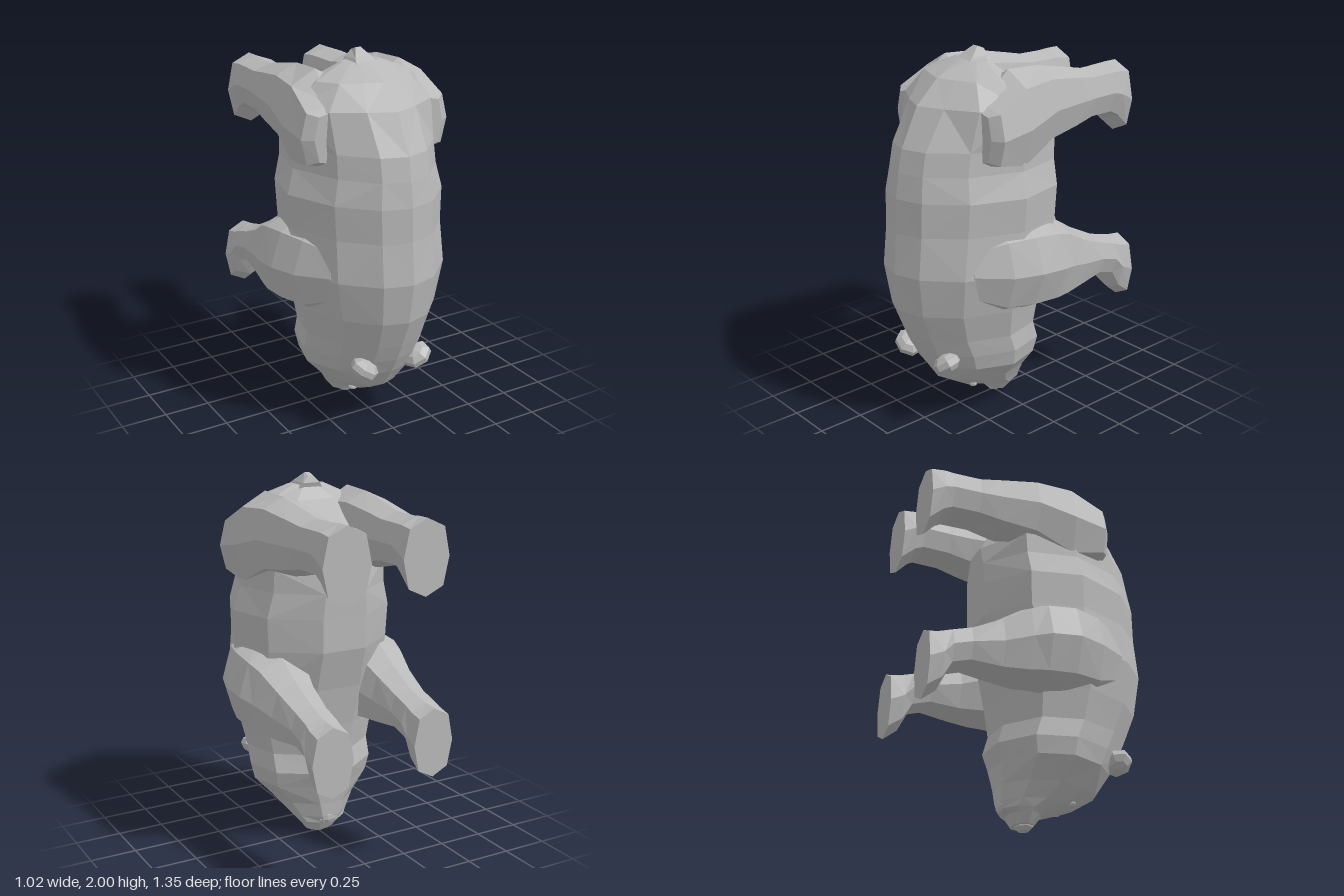
import * as THREE from 'three';

const fur = new THREE.MeshStandardMaterial({ color: 0xb8b8b8, flatShading: true });
fur.name = 'grey fur';

// Skin a list of rings (arrays of [x,y,z]) with capped ends, facing outwards
function loft(name, rings) {
  const tris = [];
  const n = rings[0].length;
  for (let r = 0; r < rings.length - 1; r++) {
    for (let i = 0; i < n; i++) {
      const j = (i + 1) % n;
      const a = rings[r][i], b = rings[r][j], c = rings[r + 1][j], d = rings[r + 1][i];
      if ((r + i) % 2) tris.push([a, b, c], [a, c, d]);
      else tris.push([a, b, d], [b, c, d]);
    }
  }
  const first = rings[0], last = rings[rings.length - 1];
  for (let i = 1; i < n - 1; i++) {
    tris.push([first[0], first[i + 1], first[i]], [last[0], last[i], last[i + 1]]);
  }
  // signed volume decides the winding
  let volume = 0;
  for (const [a, b, c] of tris) {
    volume += a[0] * (b[1] * c[2] - b[2] * c[1]) - a[1] * (b[0] * c[2] - b[2] * c[0])
      + a[2] * (b[0] * c[1] - b[1] * c[0]);
  }
  const flat = tris.flatMap(t => (volume < 0 ? [t[0], t[2], t[1]] : t)).flat();
  const geo = new THREE.BufferGeometry();
  geo.setAttribute('position', new THREE.Float32BufferAttribute(flat, 3));
  geo.computeVertexNormals();
  const mesh = new THREE.Mesh(geo, fur);
  mesh.name = name;
  return mesh;
}

// Body cross-section at height y: ridged back, full flanks, narrow belly
function bodyRing([y, w, z0, z1, belly = 0.3, ridge = 0.95]) {
  const d = z1 - z0;
  const half = [[0.35, ridge], [0.74, 0.77], [1, 0.47], [0.85, 0.18], [belly, 0]];
  const side = half.map(([x, t]) => [x * w, y, z0 + t * d]);
  const other = side.map(p => [-p[0], p[1], p[2]]).reverse();
  return [[0, y, z1], ...side, [0, y, z0], ...other];
}

// Octagon leg section at depth z; a lower power makes it squarer
function legRing(s, [z, x0, x1, y0, y1, power = 0.8]) {
  const bulge = v => Math.sign(v) * Math.pow(Math.abs(v) < 1e-6 ? 0 : Math.abs(v), power);
  return Array.from({ length: 8 }, (_, i) => {
    const a = i * Math.PI / 4;
    return [s * ((x0 + x1) / 2 + (x1 - x0) / 2 * bulge(Math.cos(a))),
      (y0 + y1) / 2 + (y1 - y0) / 2 * bulge(Math.sin(a)), z];
  });
}

// Small faceted lump
function lump(name, radii, position, rotation = [0, 0, 0]) {
  const mesh = new THREE.Mesh(new THREE.SphereGeometry(1, 7, 5), fur);
  mesh.name = name;
  mesh.scale.set(...radii);
  mesh.position.set(...position);
  mesh.rotation.set(...rotation);
  return mesh;
}

export function createModel() {
  const model = new THREE.Group();
  model.name = 'bear';

  // Head and trunk from nose to rump: y, half width, belly z, back z, belly narrowness, ridge
  const trunk = [
    [0.03, 0.08, -0.06, 0.05], [0.08, 0.12, -0.09, 0.09], [0.1, 0.135, -0.13, 0.15],
    [0.14, 0.165, -0.14, 0.27], [0.22, 0.225, -0.145, 0.4], [0.33, 0.325, -0.16, 0.475],
    [0.42, 0.345, -0.19, 0.525], [0.52, 0.345, -0.16, 0.57], [0.68, 0.38, -0.18, 0.635],
    [0.9, 0.43, -0.22, 0.67], [1.12, 0.42, -0.28, 0.65], [1.3, 0.43, -0.285, 0.645],
    [1.43, 0.39, -0.29, 0.625], [1.55, 0.385, -0.29, 0.6, 0.18],
    [1.75, 0.4, -0.17, 0.5, 0.12, 0.91], [1.87, 0.28, 0.02, 0.37, 0.4, 0.9],
    [1.94, 0.11, 0.09, 0.21],
  ];
  model.add(loft('body', trunk.map(bodyRing)));

  // Legs from sole to root: z, inner x, outer x, low y, high y, squareness
  const foreleg = [
    [-0.675, 0.18, 0.415, 0.5, 0.87], [-0.6, 0.18, 0.415, 0.56, 0.88],
    [-0.55, 0.18, 0.41, 0.66, 0.89], [-0.45, 0.18, 0.41, 0.69, 0.92],
    [-0.29, 0.16, 0.435, 0.66, 1.0], [-0.15, 0.12, 0.475, 0.645, 1.09],
    [-0.06, 0.1, 0.505, 0.64, 1.13, 0.9], [0.1, 0.1, 0.508, 0.64, 1.16, 1],
    [0.25, 0.1, 0.455, 0.65, 1.15, 1], [0.42, 0.1, 0.34, 0.74, 1.09, 1],
  ];
  const hindLeg = [
    [-0.675, 0.09, 0.36, 1.46, 1.85], [-0.6, 0.09, 0.36, 1.54, 1.85],
    [-0.55, 0.1, 0.355, 1.57, 1.845], [-0.4, 0.105, 0.36, 1.57, 1.845],
    [-0.28, 0.1, 0.375, 1.54, 1.87], [-0.08, 0.08, 0.405, 1.5, 1.91, 0.85],
    [0.12, 0.06, 0.435, 1.38, 1.92, 0.95], [0.3, 0.08, 0.43, 1.46, 1.78, 0.6],
    [0.34, 0.1, 0.375, 1.48, 1.76, 0.6],
  ];
  for (const s of [1, -1]) {
    const side = s > 0 ? 'left' : 'right';
    model.add(loft(side + 'Foreleg', foreleg.map(r => legRing(s, r))));
    model.add(loft(side + 'HindLeg', hindLeg.map(r => legRing(s, r))));
    // Ears and eyes
    model.add(lump(side + 'Ear', [0.085, 0.052, 0.077], [s * 0.163, 0.385, 0.467], [0.2, 0, s * 0.55]));
    model.add(lump(side + 'Eye', [0.03, 0.016, 0.02], [s * 0.09, 0.15, 0.23], [0, 0, s * 0.2]));
  }

  // Nose, chin and tail
  model.add(lump('nose', [0.06, 0.035, 0.05], [0, 0.035, 0]));
  model.add(lump('chin', [0.07, 0.045, 0.03], [0, 0.13, -0.115]));
  model.add(loft('tail', [
    [[-0.1, 1.86, 0.32], [0.1, 1.86, 0.32], [0.09, 1.89, 0.09], [-0.09, 1.89, 0.09]],
    [[-0.05, 1.955, 0.18], [0.05, 1.955, 0.18], [0.05, 1.95, 0.07], [-0.05, 1.95, 0.07]],
    [[-0.015, 2, 0.12], [0.015, 2, 0.12], [0.015, 1.985, 0.08], [-0.015, 1.985, 0.08]],
  ]));
  return model;
}
